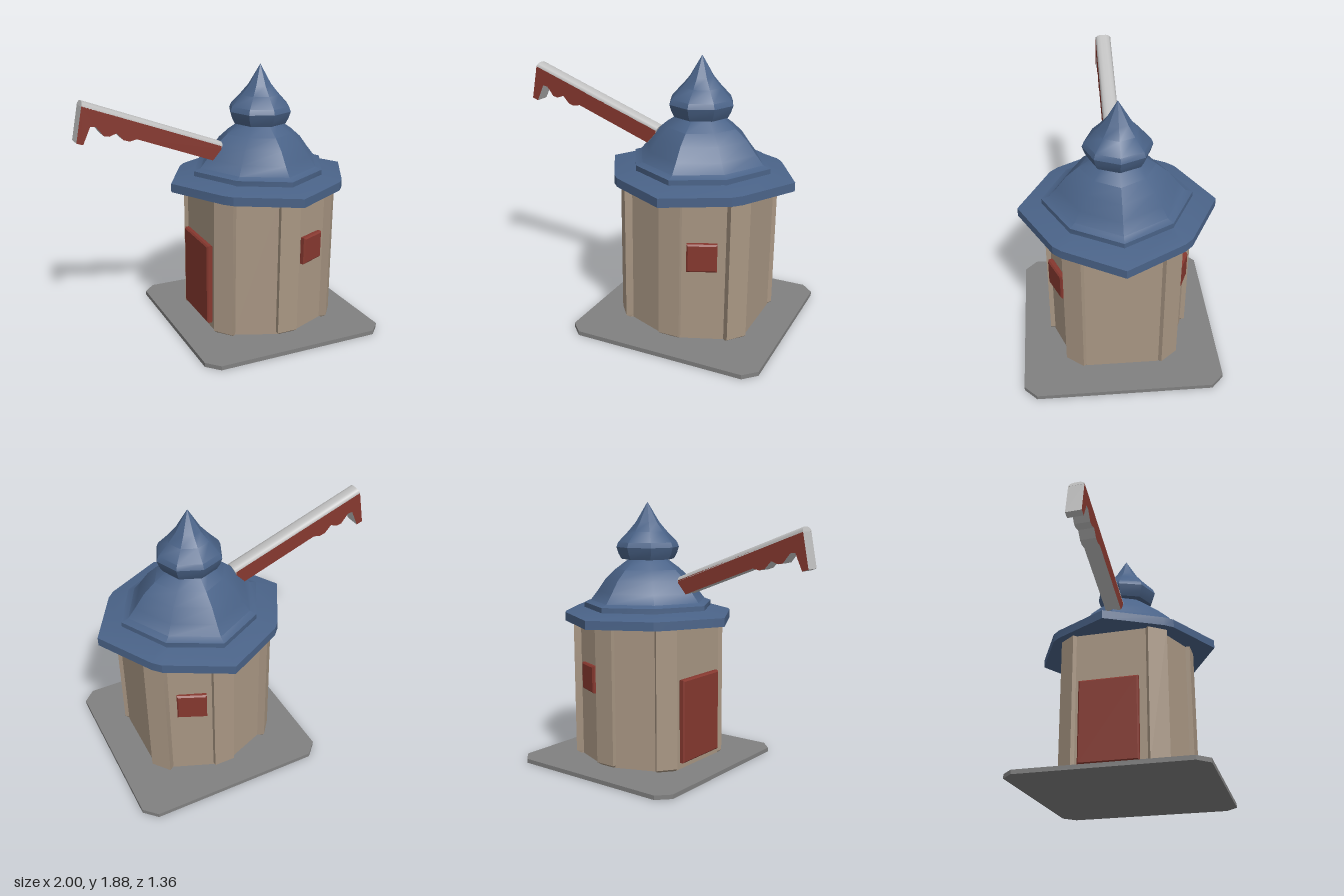
import * as THREE from 'three';
import { toCreasedNormals } from 'three/addons/utils/BufferGeometryUtils.js';

const mat = (name, color) => Object.assign(new THREE.MeshStandardMaterial({ color }), { name });

// Skin stacked cross-sections [y, [[x, z], ...]] from bottom to top, with end caps
function loft(rings, crease = 0.3) {
  const pos = [];
  const first = rings[0][1], n = first.length;
  let area = 0;
  first.forEach(([x, z], i) => {
    const [x2, z2] = first[(i + 1) % n];
    area += x * z2 - x2 * z;
  });
  const P = rings.map(([y, pts]) => {
    const r = pts.map(([x, z]) => [x, y, z]);
    return area > 0 ? r.reverse() : r;
  });
  const tri = (a, b, c) => pos.push(...a, ...b, ...c);
  for (let k = 0; k + 1 < P.length; k++) {
    for (let i = 0; i < n; i++) {
      const j = (i + 1) % n;
      tri(P[k][i], P[k][j], P[k + 1][j]);
      tri(P[k][i], P[k + 1][j], P[k + 1][i]);
    }
  }
  const top = P[P.length - 1];
  for (let i = 1; i + 1 < n; i++) {
    tri(P[0][0], P[0][i + 1], P[0][i]);
    tri(top[0], top[i], top[i + 1]);
  }
  const g = new THREE.BufferGeometry();
  g.setAttribute('position', new THREE.Float32BufferAttribute(pos, 3));
  return toCreasedNormals(g, crease);
}

// Eight-sided ring whose diagonal corners may be pulled in
const octagon = (r, diagonal = 1) => Array.from({ length: 8 }, (_, i) => {
  const a = i * Math.PI / 4, q = Math.max(r, 0.0005) * (i % 2 ? diagonal : 1);
  return [q * Math.sin(a), q * Math.cos(a)];
});

// Mirror quadrant points (from +x towards +z) into a closed outline
const fourWay = (pts) => {
  const half = [...pts, ...[...pts].reverse().map(([x, z]) => [-x, z])];
  return [...half, ...half.map(([x, z]) => [-x, -z])];
};

export function createModel() {
  const stone = mat('base grey', 0x808080);
  const wall = mat('wall tan', 0xa89683);
  const blue = mat('roof blue', 0x4a6388);
  const red = mat('dark red', 0x86382f);
  const silver = mat('light grey', 0xc0c0c0);

  const model = new THREE.Group();
  const tower = new THREE.Group();
  tower.name = 'tower';
  tower.position.x = 0.32;
  model.add(tower);
  const add = (parent, name, geo, material) => {
    const m = new THREE.Mesh(geo, material);
    m.name = name;
    parent.add(m);
    return m;
  };

  // Ground plate with clipped corners
  const plate = fourWay([[0.68, 0.595], [0.595, 0.68]]);
  add(tower, 'basePlate', loft([[0, plate], [0.03, plate]]), stone);

  // Six-sided wall core
  const core = fourWay([[0.447, 0.25], [0.355, 0.345], [0.07, 0.46]]);
  add(tower, 'walls', loft([[0.04, core], [1.05, core]]), wall);

  // Corner posts, bevelled at the foot
  const post = (name, outer, foot) => add(tower, name,
    loft([[0.04, foot], [0.06, outer], [1.05, outer]]), wall);
  for (const sz of [1, -1]) {
    const flip = (pts, sx) => pts.map(([x, z]) => [x * sx, z * sz]);
    post('middlePost',
      flip([[0.075, 0.43], [0.075, 0.49], [-0.075, 0.49], [-0.075, 0.43]], 1),
      flip([[0.06, 0.43], [0.06, 0.465], [-0.06, 0.465], [-0.06, 0.43]], 1));
    for (const sx of [1, -1]) {
      post('cornerPost',
        flip([[0.425, 0.23], [0.47, 0.27], [0.38, 0.385], [0.335, 0.345]], sx),
        flip([[0.425, 0.23], [0.446, 0.262], [0.362, 0.362], [0.335, 0.345]], sx));
    }
  }

  // Bevelled panels for the door and windows
  const panel = (name, w, h, x, y, z, yaw) => {
    const b = 0.01, s = new THREE.Shape();
    s.moveTo(-w / 2 + b, -h / 2 + b);
    s.lineTo(w / 2 - b, -h / 2 + b);
    s.lineTo(w / 2 - b, h / 2 - b);
    s.lineTo(-w / 2 + b, h / 2 - b);
    const g = new THREE.ExtrudeGeometry(s, {
      depth: 0.025, bevelEnabled: true, bevelSize: b, bevelThickness: b, bevelSegments: 1,
    });
    const m = add(tower, name, g, red);
    m.position.set(x, y, z);
    m.rotation.y = yaw;
  };
  panel('frontWindow', 0.2, 0.195, 0.197, 0.645, 0.41, 0.42);
  panel('backWindow', 0.2, 0.195, 0.197, 0.645, -0.4, Math.PI - 0.42);
  panel('door', 0.42, 0.59, -0.455, 0.385, -0.01, -Math.PI / 2);

  // Wide roof brim with clipped diagonal corners
  const brim = (s) => [
    [0.67, 0], [0.455, 0.385], [0.405, 0.44], [0, 0.66], [-0.405, 0.44], [-0.455, 0.385],
    [-0.67, 0], [-0.455, -0.385], [-0.405, -0.44], [0, -0.66], [0.405, -0.44], [0.455, -0.385],
  ].map(([x, z]) => [x * s, z * s]);
  add(tower, 'roofBrim', loft([[1.04, brim(1)], [1.1, brim(1)], [1.135, brim(0.74)]]), blue);

  // Bell-shaped roof
  const bell = [[0.5, 1.125], [0.5, 1.168], [0.45, 1.185], [0.396, 1.25], [0.33, 1.337],
    [0.25, 1.406], [0.144, 1.478]];
  add(tower, 'bellRoof', loft(bell.map(([r, y]) => [y, octagon(r, 0.92)]), 0.6), blue);

  // Onion finial
  const onion = [[0.19, 1.475], [0.212, 1.515], [0.226, 1.56], [0.212, 1.595], [0.14, 1.67],
    [0.085, 1.735], [0, 1.877]];
  add(tower, 'onionFinial', loft(onion.map(([r, y]) => [y, octagon(r)]), 0.6), blue);

  // Raised arm with a scalloped lower edge: red sides, light grey rim
  const arm = new THREE.Group();
  arm.name = 'arm';
  model.add(arm);
  const outline = [[-0.955, 1.7], [-1, 1.465], [-0.957, 1.45], [-0.905, 1.565], [-0.87, 1.56],
    [-0.82, 1.495], [-0.785, 1.488], [-0.735, 1.505], [-0.69, 1.455], [-0.65, 1.442],
    [-0.6, 1.452], [-0.06, 1.246], [0.005, 1.32], [0.005, 1.34]];
  const side = new THREE.Shape(outline.map(([x, y]) => new THREE.Vector2(x, y)));
  const blade = new THREE.ExtrudeGeometry(side, { depth: 0.11, bevelEnabled: false });
  blade.translate(0, 0, -0.055);
  add(arm, 'armBlade', blade, [red, silver]);

  // Rounded cap along the top of the arm
  const arch = new THREE.Shape([[-0.055, -0.005], [0.055, -0.005], [0.055, 0.004], [0.042, 0.02],
    [0.02, 0.028], [-0.02, 0.028], [-0.042, 0.02], [-0.055, 0.004]]
    .map(([x, y]) => new THREE.Vector2(x, y)));
  const capGeo = new THREE.ExtrudeGeometry(arch, { depth: 1.03, bevelEnabled: false });
  const cap = add(arm, 'armCap', toCreasedNormals(capGeo, 0.8), silver);
  cap.position.set(-0.955, 1.7, 0);
  cap.lookAt(0.005, 1.337, 0);

  return model;
}
